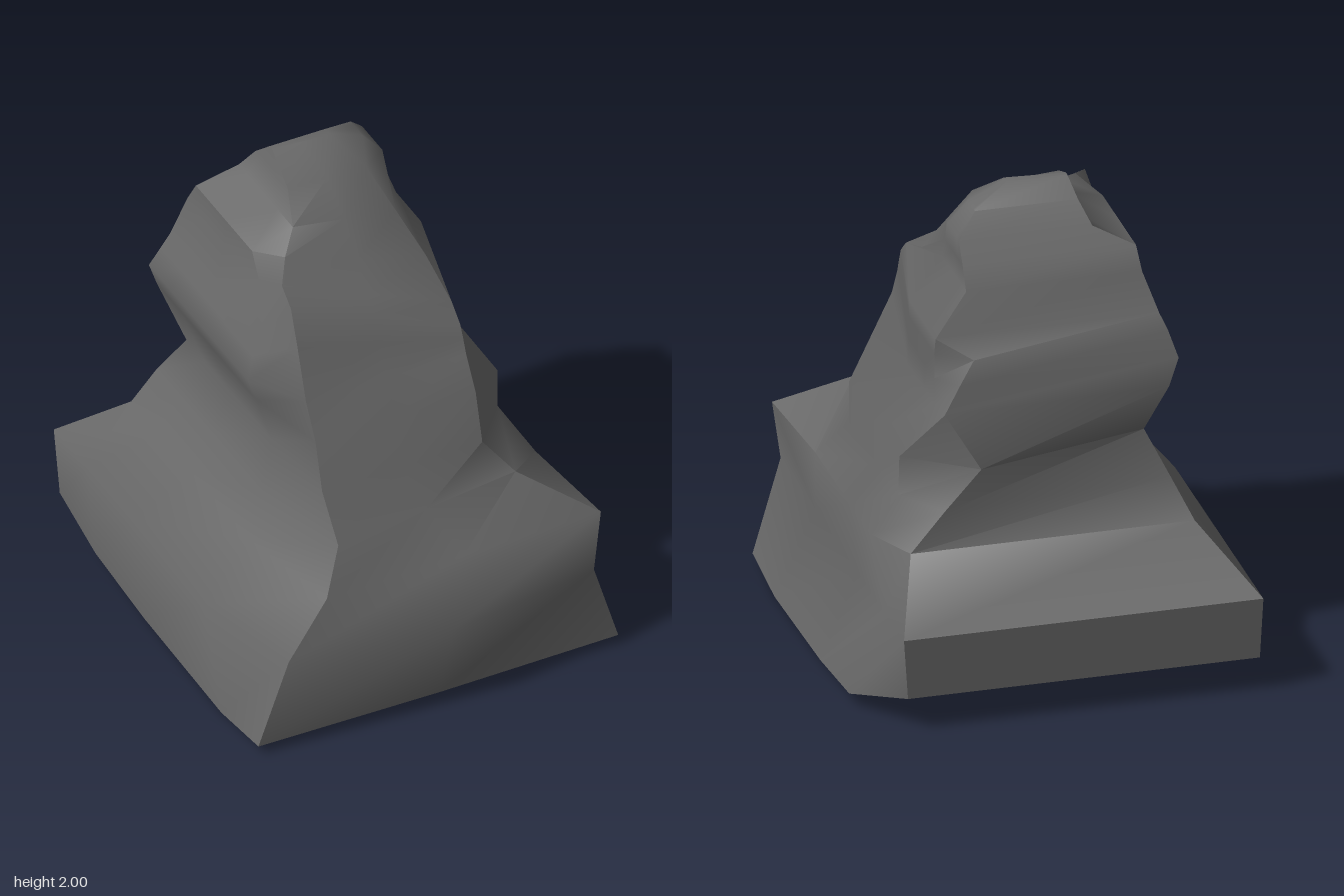
import * as THREE from 'three';
import { toCreasedNormals } from 'three/addons/utils/BufferGeometryUtils.js';

// Front face, bottom to top: left edge x, y, z, right edge x, y, z, bulge of the middle
const front = [
  [-0.78, 0.045, 0.79, 0.77, 0.045, 0.79, 0.01],
  [-0.66, 0.42, 0.81, 0.65, 0.42, 0.82, 0.10],
  [-0.49, 0.66, 0.80, 0.69, 0.67, 0.80, 0],
  [-0.40, 0.83, 0.72, 0.42, 0.83, 0.61, 0],
  [-0.40, 1.00, 0.585, 0.29, 1.00, 0.585, 0],
  [-0.40, 1.20, 0.53, 0.29, 1.20, 0.53, 0],
  [-0.40, 1.34, 0.45, 0.29, 1.33, 0.45, 0],
  [-0.40, 1.55, 0.38, 0.29, 1.39, 0.425, 0],
  [-0.40, 1.70, 0.325, 0.29, 1.44, 0.40, 0],
  [-0.40, 1.76, 0.25, 0.29, 1.50, 0.33, 0],
  [-0.33, 1.80, 0.14, 0.29, 1.58, 0.11, 0.02],
  [-0.24, 1.84, 0.03, 0.22, 1.74, 0.00, 0],
  [-0.20, 1.93, -0.09, 0.15, 1.90, -0.11, 0],
  [-0.18, 2.00, -0.26, 0.06, 2.00, -0.24, 0],
];

// Walls and back: height, left wall x, z where it begins, back left z,
// right wall x, z where it begins, back right corner x, z
const walls = [
  [0.05, -0.78, 0.48, -0.87, 0.77, 0.48, 0.62, -0.87],
  [0.42, -0.78, 0.33, -0.92, 0.65, 0.33, 0.65, -0.92],
  [0.66, -0.58, 0.33, -0.66, 0.65, 0.33, 0.55, -0.66],
  [0.83, -0.50, 0.27, -0.60, 0.55, 0.21, 0.42, -0.68],
  [1.00, -0.42, 0.20, -0.51, 0.55, 0.21, 0.28, -0.70],
  [1.22, -0.49, 0.21, -0.62, 0.42, -0.16, 0.41, -0.645],
  [1.33, -0.53, 0.22, -0.61, 0.42, -0.17, 0.35, -0.64],
  [1.43, -0.50, 0.20, -0.57, 0.42, -0.18, 0.29, -0.63],
  [1.50, -0.47, 0.17, -0.55, 0.42, -0.18, 0.42, -0.55],
  [1.67, -0.41, 0.08, -0.52, 0.29, -0.18, 0.29, -0.52],
  [1.76, -0.40, 0.00, -0.47, 0.29, -0.22, 0.29, -0.47],
  [1.84, -0.24, -0.10, -0.42, 0.29, -0.25, 0.29, -0.42],
  [1.93, -0.20, -0.20, -0.36, 0.21, -0.26, 0.21, -0.36],
  [2.00, -0.18, -0.265, -0.28, 0.06, -0.25, 0.06, -0.28],
];

// Uneven underside: height of each corner of the lowest loop
const underside = [0.045, 0.045, 0.045, 0, 0.02, 0.06, 0.15, 0.15, 0.06, 0.02, 0];

// One loop of eleven corners, counter-clockwise seen from above
function loop([xfl, yfl, zfl, xfr, yfr, zfr, bulge], level) {
  const [y, xl, zl, zbl, xr, zr, xbr, zbr] = walls[level];
  const { lerp } = THREE.MathUtils;
  const corners = [
    [xfl, yfl, zfl],
    [(xfl + xfr) / 2, (yfl + yfr) / 2, (zfl + zfr) / 2 + bulge],
    [xfr, yfr, zfr],
    [xr, y, zr],
    [xr, y, lerp(zr, zbr, 0.48)],
    [xr, y, lerp(zr, zbr, 0.78)],
    [xbr, y, zbr],
    [xl, y, zbl],
    [xl, y, lerp(zl, zbl, 0.78)],
    [xl, y, lerp(zl, zbl, 0.48)],
    [xl, y, zl],
  ];
  return level > 0 ? corners : corners.map(([x, , z], i) => [x, underside[i], z]);
}

function rockGeometry() {
  const loops = front.map(loop);
  const n = loops[0].length;
  const index = [];

  // Faces between neighbouring loops; the right front flank folds the other way
  for (let s = 0; s < loops.length - 1; s++) {
    for (let i = 0; i < n; i++) {
      const a = s * n + i;
      const b = s * n + (i + 1) % n;
      if (i === 2) index.push(a, b, a + n, b, b + n, a + n);
      else index.push(a, b, b + n, a, b + n, a + n);
    }
  }

  // Underside and summit, as strips from front to back
  const cap = [
    [0, 1, 2], [0, 2, 3], [0, 3, 10], [10, 3, 4], [10, 4, 9],
    [9, 4, 5], [9, 5, 8], [8, 5, 6], [8, 6, 7],
  ];
  const top = (loops.length - 1) * n;
  for (const [a, b, c] of cap) {
    index.push(a, c, b, top + a, top + b, top + c);
  }

  const geometry = new THREE.BufferGeometry();
  geometry.setAttribute('position', new THREE.Float32BufferAttribute(loops.flat(2), 3));
  geometry.setIndex(index);
  return toCreasedNormals(geometry, 0.9);
}

export function createModel() {
  const group = new THREE.Group();
  group.name = 'rockFormation';
  const rock = new THREE.Mesh(
    rockGeometry(),
    new THREE.MeshStandardMaterial({ color: 0x696969 }),
  );
  rock.name = 'rock';
  group.add(rock);
  return group;
}
